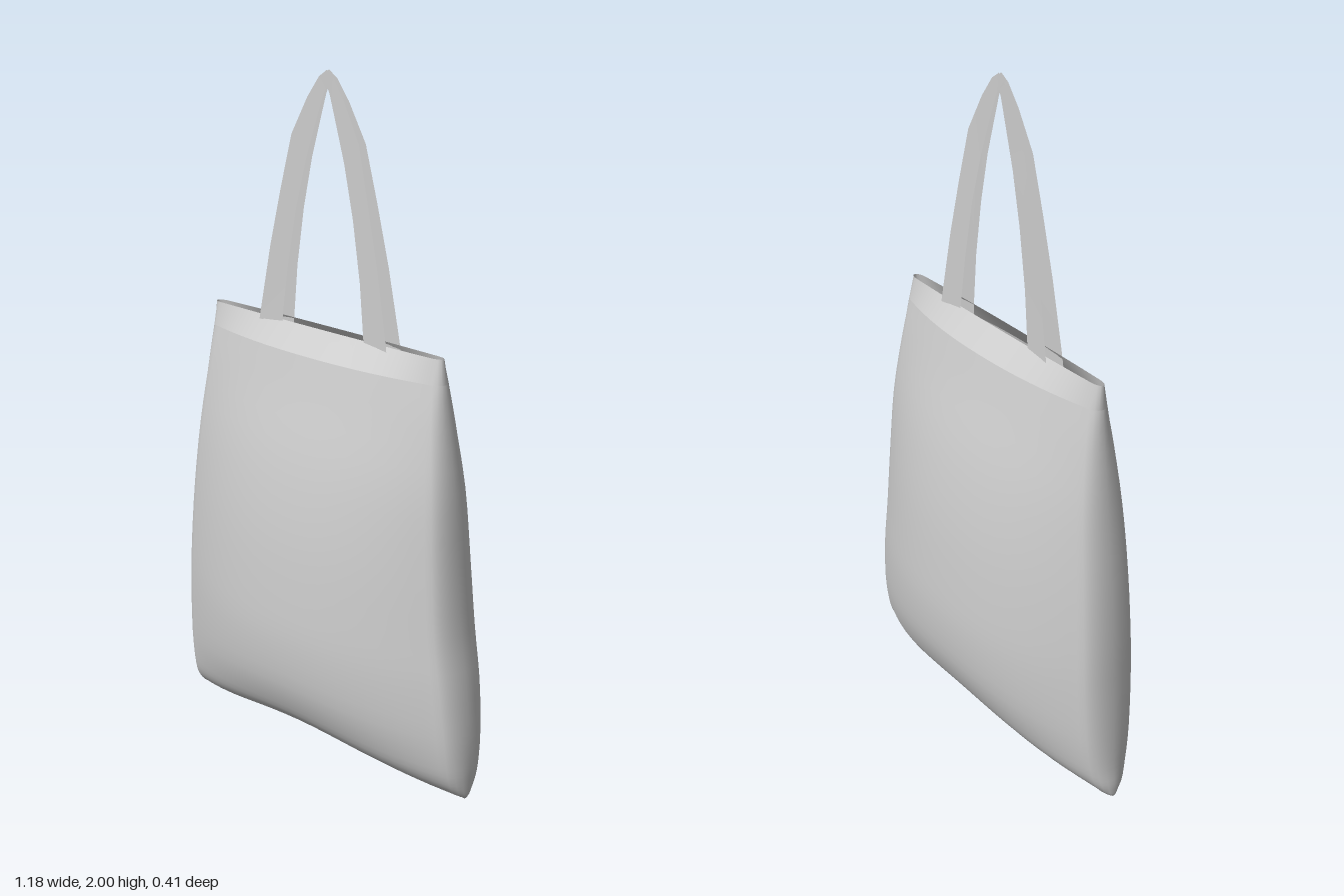
import * as THREE from 'three';

const fabric = new THREE.MeshStandardMaterial({ color: 0xcccccc, side: THREE.DoubleSide });
fabric.name = 'grey fabric';

// Surface through equal-length rows of points; closed joins the row ends
function loft(name, rows, closed) {
  const n = rows[0].length, index = [];
  for (let r = 0; r < rows.length - 1; r++) {
    for (let i = 0; i < (closed ? n : n - 1); i++) {
      const j = (i + 1) % n;
      const a = r * n + i, b = r * n + j, c = a + n, d = b + n;
      index.push(a, b, d, a, d, c);
    }
  }
  const geometry = new THREE.BufferGeometry();
  geometry.setAttribute('position', new THREE.Float32BufferAttribute(rows.flat(2), 3));
  geometry.setIndex(index);
  geometry.computeVertexNormals();
  const mesh = new THREE.Mesh(geometry, fabric);
  mesh.name = name;
  return mesh;
}

// Lens-shaped ring with rounded ends: reach to -x and +x, middle and end half depth
function ring(y, left, right, depth, end) {
  const n = 30, points = [];
  const lift = 1 - THREE.MathUtils.smoothstep(y, 0, 0.5);
  for (let i = 0; i < 2 * n; i++) {
    const u = -Math.cos((i / n) * Math.PI), t = Math.min(1, Math.abs(u) / 0.93);
    const over = Math.max(0, (Math.abs(u) - 0.93) / 0.07);
    const z = over > 0
      ? end * Math.sqrt(Math.max(0, 1 - over * over))
      : end + (depth - end) * (1 - Math.pow(t, 2.2));
    // the bottom seam arches up between the corners
    const bow = 0.05 * Math.cos(u * Math.PI / 2) ** 2 + 0.006 * (u + 1);
    points.push([u < 0 ? u * left : u * right, y + bow * lift, i < n ? z : -z]);
  }
  return points;
}

// Handle edges from the mouth up to the peak: outer x, outer y, inner x, inner y, z
const HANDLE = [
  [0.275, 1.2, 0.175, 1.2, 0.029],
  [0.264, 1.27, 0.17, 1.27, 0.027],
  [0.222, 1.48, 0.15, 1.43, 0.022],
  [0.18, 1.65, 0.118, 1.6, 0.018],
  [0.138, 1.81, 0.078, 1.75, 0.013],
  [0.075, 1.92, 0.036, 1.87, 0.009],
  [0.03, 1.98, 0.012, 1.935, 0.006],
  [0, 2, 0, 1.955, 0.004],
];

export function createModel() {
  const bag = new THREE.Group();
  bag.name = 'toteBag';

  // Body sections: y, left reach, right reach, middle depth, end depth
  const sections = [
    [0, 0.575, 0.57, 0, 0],
    [0.008, 0.588, 0.578, 0.045, 0.016],
    [0.022, 0.59, 0.582, 0.087, 0.032],
    [0.05, 0.59, 0.585, 0.13, 0.05],
    [0.1, 0.585, 0.587, 0.163, 0.065],
    [0.2, 0.58, 0.584, 0.194, 0.078],
    [0.35, 0.573, 0.568, 0.207, 0.085],
    [0.5, 0.566, 0.545, 0.203, 0.085],
    [0.7, 0.55, 0.526, 0.186, 0.08],
    [0.9, 0.527, 0.51, 0.153, 0.07],
    [1.08, 0.505, 0.485, 0.107, 0.05],
    [1.2, 0.493, 0.468, 0.078, 0.03],
  ];
  const outline = new THREE.CatmullRomCurve3(
    sections.map(s => new THREE.Vector3(s[0], s[1], s[2])), false, 'catmullrom');
  const bulge = new THREE.CatmullRomCurve3(
    sections.map(s => new THREE.Vector3(s[3], s[4], 0)), false, 'catmullrom');
  const rows = [], steps = 33;
  for (let i = 0; i <= steps; i++) {
    const o = outline.getPoint(i / steps), b = bulge.getPoint(i / steps);
    rows.push(ring(o.x, o.y, o.z, b.x, b.y));
  }
  bag.add(loft('body', rows, true));

  // Hem folding in to the open mouth
  bag.add(loft('hem', [
    ring(1.2, 0.493, 0.468, 0.078, 0.03),
    ring(1.27, 0.49, 0.458, 0.021, 0.015),
  ], true));

  // One flat strap on each side, meeting in a peak
  for (const [name, side] of [['frontHandle', 1], ['backHandle', -1]]) {
    const half = s => HANDLE.map(([ox, oy, ix, iy, z]) =>
      [[s * ox, oy, z * side], [s * ix, iy, z * side * 0.85]]);
    const strip = [...half(-1), ...half(1).reverse().slice(1)];
    bag.add(loft(name, strip, false));
  }
  return bag;
}
